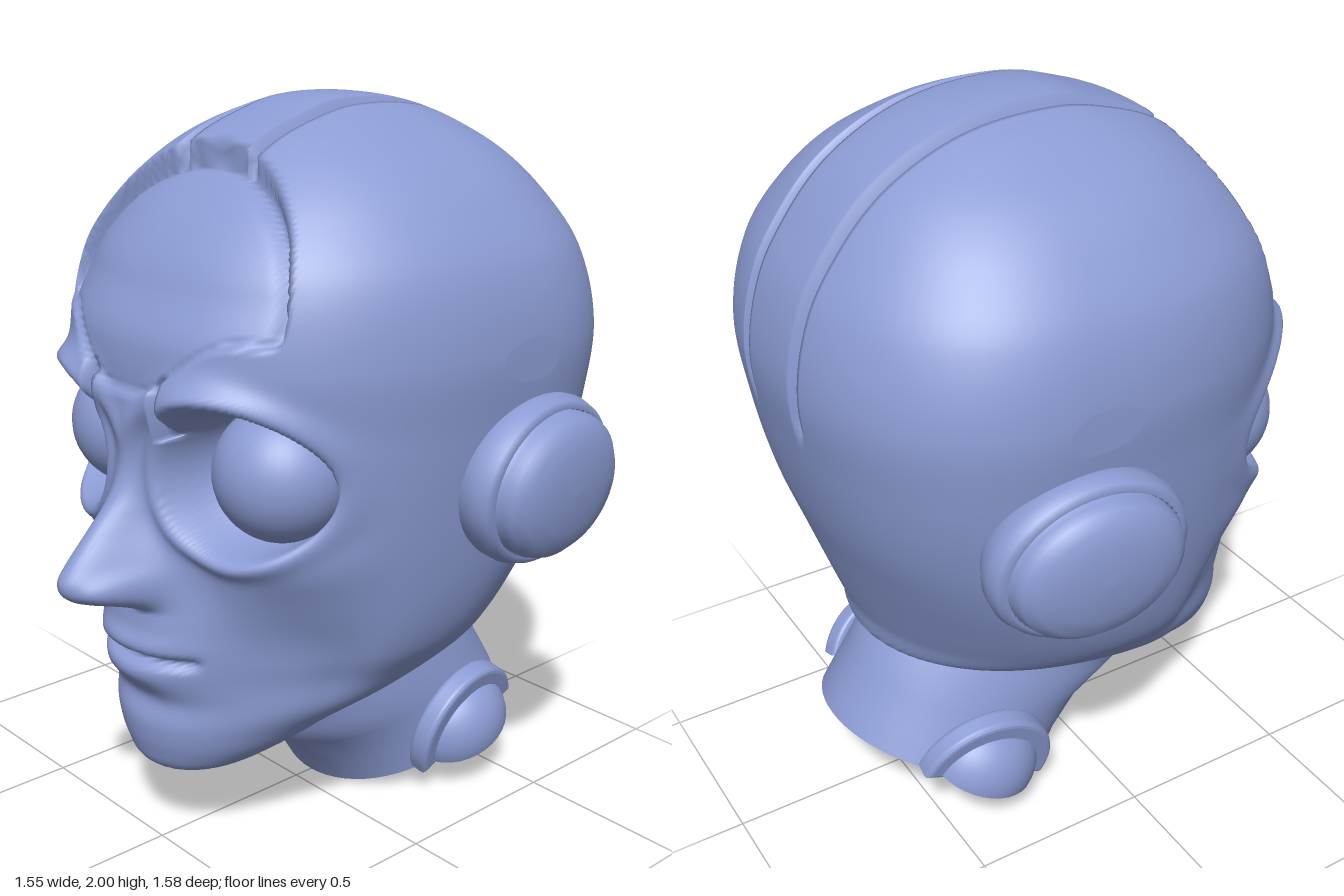
import * as THREE from 'three';

const ss = THREE.MathUtils.smoothstep;
const g = (dx, sx, dy, sy) => Math.exp(-((dx / sx) ** 2) - (dy / sy) ** 2);

// Smooth interpolation of column c in a table sorted by column 0
function sample(rows, t, c) {
  const n = rows.length - 1;
  let i = 0;
  while (i < n - 1 && t > rows[i + 1][0]) i++;
  const slope = k => {
    const a = rows[Math.max(k - 1, 0)], b = rows[Math.min(k + 1, n)];
    return (b[c] - a[c]) / (b[0] - a[0]);
  };
  const p = rows[i], q = rows[i + 1], h = q[0] - p[0];
  const s = THREE.MathUtils.clamp((t - p[0]) / h, 0, 1), s2 = s * s, s3 = s2 * s;
  return (2 * s3 - 3 * s2 + 1) * p[c] + (s3 - 2 * s2 + s) * h * slope(i)
    + (3 * s2 - 2 * s3) * q[c] + (s3 - s2) * h * slope(i + 1);
}

// Grid surface, open along u and closed along v
function gridGeometry(nu, nv, point) {
  const pos = [], idx = [];
  for (let i = 0; i <= nu; i++) for (let j = 0; j < nv; j++) pos.push(...point(i, j));
  for (let i = 0; i < nu; i++) {
    for (let j = 0; j < nv; j++) {
      const k = (j + 1) % nv;
      const a = i * nv + j, b = a + nv, c = (i + 1) * nv + k, d = i * nv + k;
      idx.push(a, b, c, a, c, d);
    }
  }
  const geo = new THREE.BufferGeometry();
  geo.setAttribute('position', new THREE.Float32BufferAttribute(pos, 3));
  geo.setIndex(idx);
  geo.computeVertexNormals();
  return geo;
}

// Skull levels: height, half width, front z, back z, z of the widest point
const SKULL = [
  [2, 0, -.08, -.08, -.08], [1.985, .13, .03, -.26, -.1], [1.96, .21, .1, -.36, -.12],
  [1.91, .31, .23, -.47, -.13], [1.84, .42, .33, -.57, -.15], [1.74, .52, .44, -.66, -.18],
  [1.6, .61, .535, -.745, -.21], [1.4, .65, .58, -.79, -.24], [1.2, .635, .58, -.77, -.24],
  [1, .61, .575, -.73, -.2], [.84, .585, .585, -.68, -.16], [.7, .55, .6, -.635, -.1],
  [.6, .51, .6, -.6, -.05], [.52, .455, .585, -.57, 0], [.45, .4, .57, -.35, .1],
  [.38, .32, .57, -.05, .2], [.3, .235, .555, .12, .3], [.24, .14, .52, .25, .38],
  [.21, 0, .42, .42, .42],
].map(([y, ...r]) => [Math.sqrt(2 - y), ...r]);

// Nose: height, projection
const NOSE = [[.735, 0], [.755, .07], [.785, .17], [.83, .205], [.875, .185],
  [.95, .125], [1.04, .05], [1.12, .02], [1.32, .005]];

function insideSkull(x, y, z) {
  if (y >= 2 || y <= .21) return false;
  const u = Math.sqrt(2 - y);
  const [w, zf, zb, zc] = [1, 2, 3, 4].map(c => sample(SKULL, u, c));
  const e = 2 + .4 * ss(y, .6, 1.1);
  const depth = z > zc ? zf - zc : zc - zb;
  if (w <= 0 || depth <= 0) return false;
  return Math.abs(x / w) ** e + Math.abs((z - zc) / depth) ** e < 1;
}

// Relief of the face, pushed along z
function faceRelief(ax, y) {
  const r = Math.hypot(ax - .31, y - 1.11);
  let d = -.07 * g(ax - .27, .18, y - 1.12, .16);            // eye hollow
  d -= .14 * (1 - ss(r, .165, .2));                          // socket
  d += .022 * Math.exp(-(((r - .22) / .025) ** 2));          // eyelid rim
  d += .04 * g(ax - .25, .22, y - 1.33 + 1.8 * (ax - .27) ** 2, .05); // brow
  if (y > .735 && y < 1.32) {
    const w = .06 + .035 * (1 - ss(y, .82, 1));
    d += sample(NOSE, y, 1) * Math.exp(-((ax / w) ** 2.4));
  }
  d += .05 * g(ax - .085, .035, y - .81, .04);               // nostril wings
  d -= .03 * g(ax - .2, .09, y - .82, .14);
  d -= .05 * ss(ax, .08, .3) * g(0, 1, y - .6, .2);          // mouth corners
  d -= .035 * g(0, 1, y - .595, .013) * (1 - ss(ax, .17, .22));
  d += .018 * g(ax, .15, y - .635, .03) + .02 * g(ax, .13, y - .545, .035); // lips
  d -= .018 * g(ax, .2, y - .46, .04);
  d -= .045 * g(ax - .38, .1, y - .62, .17);                 // cheek hollow
  d += .025 * g(ax - .43, .12, y - .9, .08);                 // cheekbone
  return d;
}

// Recessed forehead panel and the two crown grooves, cut inwards
function shellCut(ax, y, z) {
  let cut = 0, inPanel = 0;
  if (z > 0) {
    const upper = (1 - Math.hypot(ax / .425, Math.max(y - 1.5, 0) / .39)) * .4;
    const lower = y - (1.31 + .16 * ss(ax, .04, .34));
    const edge = Math.min(upper, lower);
    inPanel = ss(edge, -.004, .006);
    const depth = .012 + .033 * ss(y, 1.42, 1.6);
    cut = inPanel * depth;
    cut += .022 * Math.exp(-(((upper - .012) / .014) ** 2)) * ss(y, 1.44, 1.52) * inPanel;
    cut += .012 * Math.exp(-((lower / .008) ** 2)) * ss(upper, 0, .02);
  }
  const reach = z > -.2 ? 1 : ss(y, 1.24, 1.36);
  if (y > 1.2) cut += .055 * (1 - ss(Math.abs(ax - .137), .004, .018)) * reach * (1 - inPanel);
  return cut;
}

function headGeometry() {
  const nu = 190, nv = 330;
  return gridGeometry(nu, nv, (i, j) => {
    const x = .648 * Math.sin((i / nu - .5) * Math.PI);
    const ax = Math.abs(x);
    const a = (j / nv - .5) * Math.PI * 2;
    const phi = a - .6 * Math.sin(a) - .3;
    const cy = 1.1 + .28 * (x / .65) ** 2, cz = -.25;
    const dy = Math.sin(phi), dz = Math.cos(phi);
    let lo = 0, hi = 1.4;
    if (i === 0 || i === nu) hi = 0;
    for (let k = 0; k < 22 && hi > 0; k++) {
      const m = (lo + hi) / 2;
      if (insideSkull(x, cy + dy * m, cz + dz * m)) lo = m; else hi = m;
    }
    const y0 = cy + dy * lo, z0 = cz + dz * lo;
    const r = Math.max(lo - shellCut(ax, y0, z0), 0);
    return [x, cy + dy * r, cz + dz * r + faceRelief(ax, y0) * ss(z0, .05, .32)];
  });
}

// Neck sections: front z, front y, back z, back y, half width
const NECK = [
  [-.38, .135, -.38, .135, 0], [-.06, 0, -.7, .27, .33], [-.06, 0, -.7, .27, .33],
  [-.01, .08, -.665, .33, .32], [.08, .17, -.61, .42, .31], [.22, .24, -.56, .52, .31],
  [.3, .4, -.4, .7, .28],
];

function neckGeometry() {
  const nv = 64;
  return gridGeometry(NECK.length - 1, nv, (i, j) => {
    const [zf, yf, zb, yb, w] = NECK[i];
    const t = j / nv * Math.PI * 2, k = (1 + Math.cos(t)) / 2;
    return [-w * Math.sin(t), yb + (yf - yb) * k, zb + (zf - zb) * k];
  });
}

export function createModel() {
  const model = new THREE.Group();
  const shell = new THREE.MeshStandardMaterial({ color: 0x8c9cd4 });
  shell.name = 'periwinkle shell';
  const add = (parent, geo, name) => {
    const mesh = new THREE.Mesh(geo, shell);
    mesh.name = name;
    parent.add(mesh);
    return mesh;
  };

  add(model, headGeometry(), 'head');
  add(model, neckGeometry(), 'neck');

  // Ear discs: rim, groove and domed cap
  const earProfile = [[.25, -.06], [.268, -.02], [.272, .02], [.26, .05], [.238, .062], [.232, .05],
    [.232, .075], [.222, .1], [.19, .125], [.13, .14], [.06, .147], [0, .149]]
    .map(p => new THREE.Vector2(...p));

  // Half-round neck pads
  const half = new THREE.Shape();
  half.absarc(0, 0, .185, 0, Math.PI, false);
  half.closePath();

  for (const s of [1, -1]) {
    const side = s > 0 ? 'left' : 'right';

    const eye = add(model, new THREE.SphereGeometry(.178, 40, 28), side + 'Eye');
    eye.position.set(.31 * s, 1.11, .32);

    const earGeo = new THREE.LatheGeometry(earProfile, 56);
    earGeo.rotateZ(-s * Math.PI / 2).scale(1, .84, 1);
    const ear = add(model, earGeo, side + 'Ear');
    ear.position.set(.625 * s, 1.045, -.272);
    ear.rotation.set(0, s * .07, -s * .08);

    const pad = new THREE.Group();
    pad.name = side + 'NeckPad';
    pad.position.set(.285 * s, .165, -.385);
    pad.rotation.set(.4, 0, -.25 * s);
    model.add(pad);
    const rim = new THREE.ExtrudeGeometry(half, {
      depth: .035, bevelThickness: .015, bevelSize: .015, bevelSegments: 3, curveSegments: 32,
    });
    add(pad, rim.rotateY(s * Math.PI / 2), side + 'PadRim');
    const dome = new THREE.SphereGeometry(1, 36, 16, 0, Math.PI * 2, 0, Math.PI / 2);
    add(pad, dome.scale(.14, .155, .165), side + 'PadDome');
    const base = new THREE.CircleGeometry(1, 36).rotateX(Math.PI / 2).scale(.14, 1, .165);
    add(pad, base, side + 'PadBase');
  }
  return model;
}
